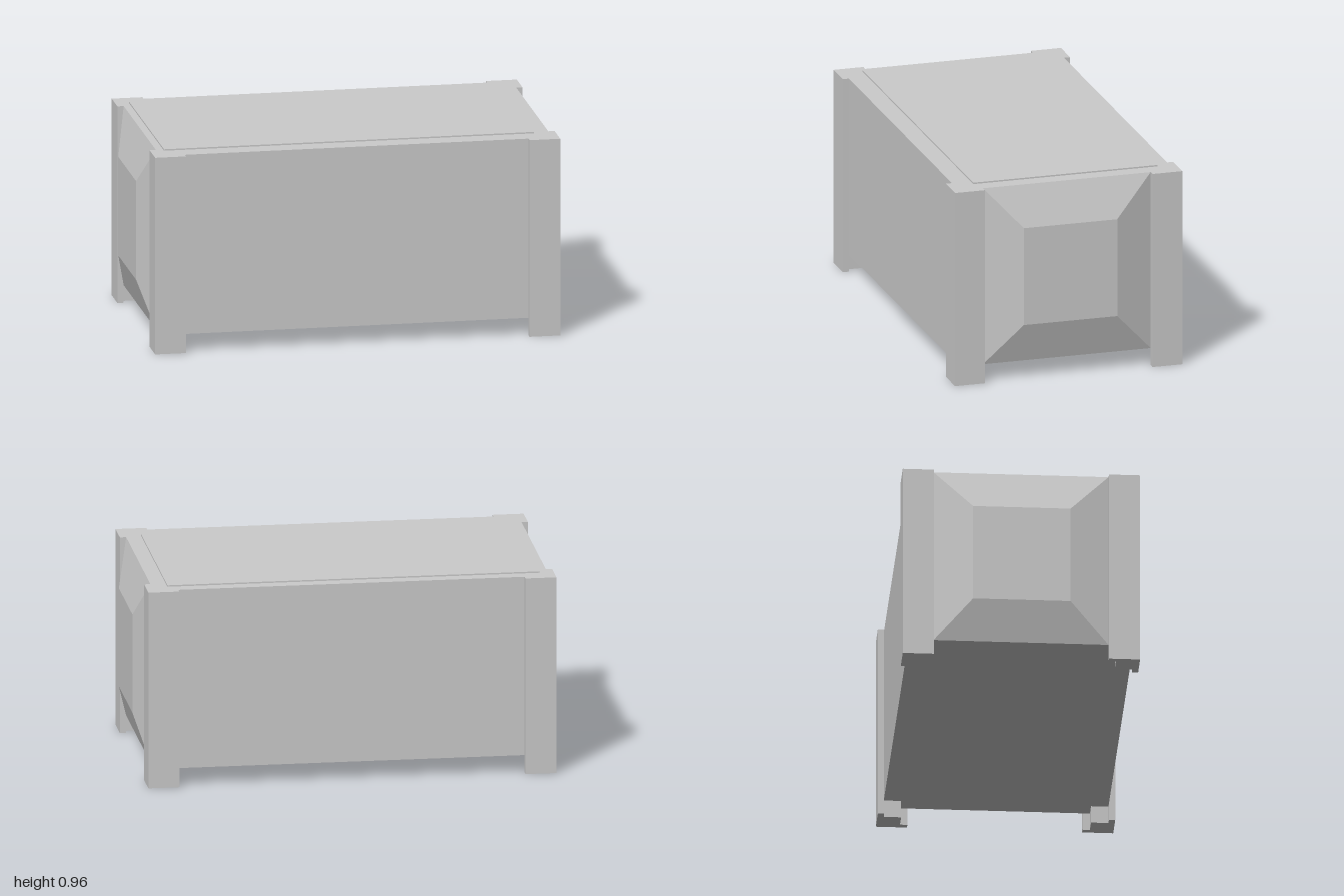
import * as THREE from 'three';

const TOP = 0.957, BOTTOM = 0.085; // body height range

export function createModel() {
  const model = new THREE.Group();
  model.name = 'chest';
  const material = new THREE.MeshStandardMaterial({ color: 0xcccccc, flatShading: true });

  const add = (name, geometry) => {
    const mesh = new THREE.Mesh(geometry, material);
    mesh.name = name;
    model.add(mesh);
    return mesh;
  };
  const box = (name, x0, x1, y0, y1, z0, z1) =>
    add(name, new THREE.BoxGeometry(x1 - x0, y1 - y0, z1 - z0))
      .position.set((x0 + x1) / 2, (y0 + y1) / 2, (z0 + z1) / 2);

  // Main box and the thin, slightly offset lid plate
  box('body', -0.94, 0.94, BOTTOM, TOP, -0.53, 0.53);
  box('lid', -0.905, 0.867, TOP - 0.01, 0.964, -0.47, 0.438);

  // Corner posts: angle strips wrapped round a square leg, as one footprint
  const postShape = (sx, sz) => {
    const X = 0.97, Z = 0.56, w = 0.147, t = 0.03, leg = 0.112;
    const points = [
      [X, Z], [X - w, Z], [X - w, Z - t], [X - leg, Z - t],
      [X - leg, Z - leg], [X - t, Z - leg], [X - t, Z - w], [X, Z - w],
    ];
    return new THREE.Shape(points.map(([x, z]) => new THREE.Vector2(sx * x, -sz * z)));
  };
  for (const sx of [-1, 1]) {
    for (const sz of [-1, 1]) {
      const geometry = new THREE.ExtrudeGeometry(postShape(sx, sz), { depth: TOP, bevelEnabled: false });
      geometry.rotateX(-Math.PI / 2); // shape y becomes -z, depth becomes height
      add(`${sz > 0 ? 'front' : 'back'}${sx > 0 ? 'Left' : 'Right'}Post`, geometry);
    }
  }

  // Raised end panels: boxes whose outer face is narrowed to a bevelled field
  for (const sx of [-1, 1]) {
    const geometry = new THREE.BoxGeometry(2, 2, 2);
    const p = geometry.attributes.position;
    for (let i = 0; i < p.count; i++) {
      const outer = p.getX(i) * sx > 0;
      const up = p.getY(i) > 0;
      const y = outer ? (up ? 0.76 : 0.28) : (up ? TOP : BOTTOM);
      p.setXYZ(i, sx * (outer ? 1 : 0.94), y, Math.sign(p.getZ(i)) * (outer ? 0.23 : 0.413));
    }
    geometry.computeVertexNormals();
    add(sx > 0 ? 'leftEndPanel' : 'rightEndPanel', geometry);
  }

  return model;
}
